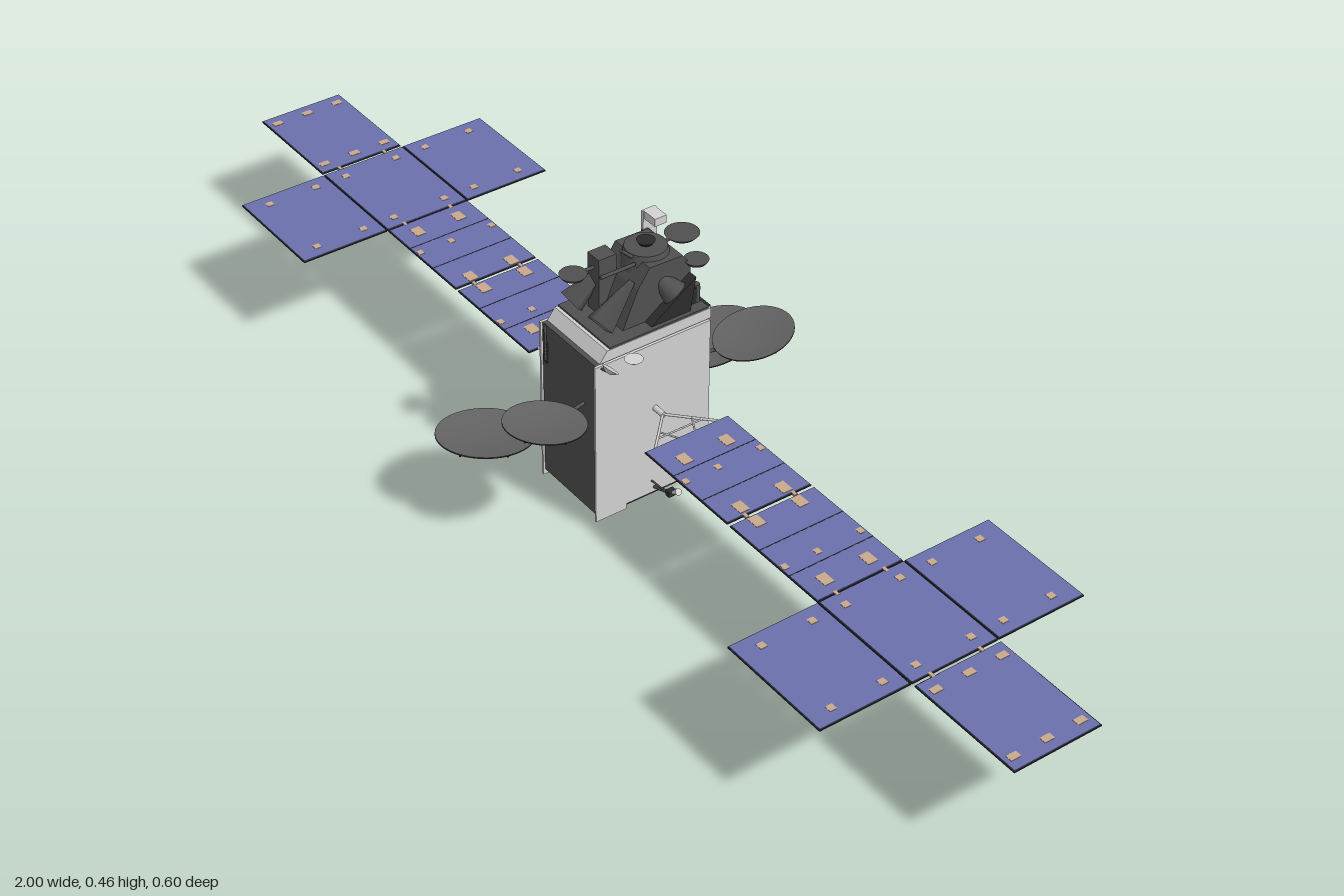
import * as THREE from 'three';

const mat = (name, color, side = THREE.FrontSide) => {
  const m = new THREE.MeshStandardMaterial({ color, side });
  m.name = name;
  return m;
};

export function createModel() {
  const root = new THREE.Group();
  root.name = 'satellite';
  const dark = mat('dark grey foil', 0x505050, THREE.DoubleSide);
  const light = mat('light grey', 0xd2d2d2, THREE.DoubleSide);
  const black = mat('black', 0x2c2c2c, THREE.DoubleSide);
  const blue = mat('solar blue', 0x6c70ac);
  const tan = mat('tan', 0xc9a98c);
  const grey = mat('reflector grey', 0x626262);

  const add = (name, geo, m, x = 0, y = 0, z = 0, parent = root) => {
    const mesh = new THREE.Mesh(geo, m);
    mesh.name = name;
    mesh.position.set(x, y, z);
    parent.add(mesh);
    return mesh;
  };
  const box = (name, m, w, h, d, x, y, z, parent) =>
    add(name, new THREE.BoxGeometry(w, h, d), m, x, y, z, parent);
  const cyl = (name, m, r1, r2, h, x, y, z, seg = 24, parent = root) =>
    add(name, new THREE.CylinderGeometry(r1, r2, h, seg), m, x, y, z, parent);
  // straight round bar between two points
  const rod = (name, m, a, b, r, r2 = r) => {
    const p = new THREE.Vector3(...a), q = new THREE.Vector3(...b);
    const d = q.clone().sub(p);
    const mesh = add(name, new THREE.CylinderGeometry(r2, r, d.length(), 8), m);
    mesh.position.copy(p).addScaledVector(d, 0.5);
    mesh.quaternion.setFromUnitVectors(new THREE.Vector3(0, 1, 0), d.normalize());
    return mesh;
  };
  // outline in (z, y) extruded across x
  const sideProfile = (name, m, pts, x0, x1) => {
    const s = new THREE.Shape(pts.map(([z, y]) => new THREE.Vector2(-z, y)));
    const g = new THREE.ExtrudeGeometry(s, { depth: x1 - x0, bevelEnabled: false });
    g.rotateY(Math.PI / 2);
    return add(name, g, m, x0, 0, 0);
  };

  // main body with light side walls
  box('body', dark, 0.142, 0.288, 0.211, 0, 0.17, 0.003);
  const wall = [[0.112, 0.016], [0.054, 0.016], [0.054, 0.027], [-0.104, 0.027], [-0.104, 0.314], [0.112, 0.314]];
  for (const s of [-1, 1]) {
    sideProfile('sideWall', light, wall, s * 0.073 - 0.002, s * 0.073 + 0.002);
    box('wallFoot', black, 0.004, 0.003, 0.16, s * 0.073, 0.0255, -0.025);
  }
  sideProfile('topDeck', light, [[0.1, 0.314], [-0.108, 0.314], [-0.108, 0.333], [0.086, 0.333]], -0.07, 0.07);
  box('deckCover', dark, 0.138, 0.004, 0.185, 0, 0.334, -0.012);
  box('rearEdge', black, 0.13, 0.02, 0.006, 0, 0.324, -0.108);

  // rows of small heat pipes on front and back
  for (let i = 0; i < 12; i++) {
    cyl('rearPipe', black, 0.0035, 0.0035, 0.005, 0.055, 0.123 + i * 0.0078, -0.106, 8);
    cyl('rearPipe', black, 0.0035, 0.0035, 0.005, -0.055, 0.123 + i * 0.0078, -0.106, 8);
    if (i < 6) cyl('frontPipe', black, 0.003, 0.003, 0.004, -0.06, 0.246 + i * 0.007, 0.109, 8);
  }
  box('rearRail', dark, 0.12, 0.1, 0.004, 0, 0.262, -0.107);
  box('frontRail', dark, 0.004, 0.065, 0.004, -0.06, 0.282, 0.112);

  // engine and base
  cyl('engineShield', black, 0.035, 0.03, 0.008, 0, 0.022, 0, 32);
  cyl('engineRing', tan, 0.017, 0.017, 0.004, 0, 0.0175, 0, 32);
  add('engineNozzle', new THREE.LatheGeometry(
    [[0.005, 0.02], [0.007, 0.014], [0.01, 0.007], [0.012, 0]].map(p => new THREE.Vector2(...p)), 24), light);
  for (const x of [-0.06, 0.06]) {
    box('thrusterBlock', black, 0.008, 0.012, 0.008, x, 0.022, -0.096);
    rod('thruster', black, [x, 0.02, -0.098], [x, 0.02, -0.108], 0.002, 0.004);
  }

  // low thruster booms
  for (const s of [-1, 1]) {
    rod('boom', dark, [s * 0.074, 0.035, 0], [s * 0.118, 0.05, 0], 0.003);
    rod('boomBrace', dark, [s * 0.074, 0.05, 0.006], [s * 0.105, 0.045, 0], 0.0015);
    box('boomHead', black, 0.01, 0.01, 0.014, s * 0.118, 0.052, 0);
    rod('boomNozzle', light, [s * 0.12, 0.053, 0], [s * 0.138, 0.066, 0], 0.002, 0.006);
  }

  // solar wings: four panels in a row plus two outer flaps
  const wingY = 0.191;
  const wing = (s) => {
    const g = new THREE.Group();
    g.name = s > 0 ? 'leftWing' : 'rightWing';
    root.add(g);
    const panel = (x, z, w, d) => {
      box('panelBack', black, w, 0.002, d, s * x, wingY - 0.0005, z, g);
      box('panelCells', blue, w - 0.003, 0.0015, d - 0.003, s * x, wingY + 0.001, z, g);
    };
    for (const x of [0.26, 0.4735, 0.682, 0.8945]) panel(x, 0, 0.207, 0.157);
    for (const z of [-0.16, 0.16]) panel(0.682, z, 0.207, 0.16);
    // seams across the inner panels
    for (const x of [0.229, 0.3, 0.44, 0.51]) box('seam', black, 0.0015, 0.0006, 0.154, s * x, wingY + 0.0018, 0, g);
    // tan hold-down patches
    const patch = (x, z, w = 0.014, d = 0.02) => box('patch', tan, w, 0.001, d, s * x, wingY + 0.0018, z, g);
    for (const x of [0.205, 0.345, 0.385, 0.545]) for (const z of [-0.04, 0.04]) patch(x, z, 0.024, 0.018);
    for (const x of [0.25, 0.49]) for (const z of [-0.07, 0.01, 0.07]) patch(x, z, 0.012, 0.01);
    for (const x of [0.605, 0.76]) for (const z of [-0.2, -0.11, -0.05, 0.05, 0.11, 0.2]) patch(x, z, 0.012, 0.012);
    for (const x of [0.815, 0.975]) for (const z of [-0.06, 0, 0.06]) patch(x, z, 0.012, 0.018);
    for (const x of [0.365, 0.578, 0.788]) for (const z of [-0.045, 0.045]) {
      box('hinge', tan, 0.01, 0.004, 0.006, s * x, wingY, z, g);
    }
    // yoke
    rod('yokeStub', light, [s * 0.074, wingY, 0], [s * 0.098, wingY, 0], 0.005);
    for (const z of [-1, 1]) {
      rod('yokeArm', light, [s * 0.095, wingY, 0], [s * 0.158, wingY, z * 0.06], 0.0022);
      rod('yokeBrace', light, [s * 0.128, wingY, z * 0.031], [s * 0.158, wingY, z * 0.015], 0.0015);
    }
    rod('yokeBar', light, [s * 0.14, wingY, -0.042], [s * 0.14, wingY, 0.042], 0.0015);
  };
  wing(1);
  wing(-1);

  // deployed reflectors, front and back
  const profile = (drop) => [0, 0.25, 0.5, 0.75, 1].map(r => new THREE.Vector2(r, 0.11 * (r * r - 1) - drop));
  const reflector = (x, y, z, rx, rz, s) => {
    const g = new THREE.Group();
    g.name = 'reflector';
    g.position.set(x, y, s * z);
    g.rotation.x = -s * 0.17;
    g.scale.set(rx, (rx + rz) / 2, rz);
    root.add(g);
    add('dishFace', new THREE.LatheGeometry(profile(0), 40), grey, 0, 0, 0, g).material.side = THREE.DoubleSide;
    add('dishBack', new THREE.LatheGeometry(profile(0.03), 40), black, 0, 0, 0, g);
    add('dishRim', new THREE.CylinderGeometry(1, 1, 0.03, 40, 1, true), black, 0, -0.015, 0, g);
    for (const r of [0.4, 0.7]) {
      const ring = add('dishRing', new THREE.TorusGeometry(r, 0.025, 6, 28), black, 0, 0.11 * (r * r - 1) - 0.05, 0, g);
      ring.rotation.x = Math.PI / 2;
    }
    for (let i = 0; i < 6; i++) {
      const rib = new THREE.Group();
      rib.name = 'dishRib';
      rib.rotation.y = i * Math.PI / 3;
      g.add(rib);
      box('rib', black, 0.9, 0.06, 0.03, 0.5, -0.115, 0, rib).rotation.z = 0.11;
    }
    // support arm from the body
    const inner = z - rz * 0.7;
    rod('dishArm', dark, [x * 0.6, y - 0.018, s * 0.105], [x * 0.75, y - 0.018, s * inner], 0.003);
    rod('dishBracket', dark, [x * 0.75, y - 0.018, s * inner], [x, y - 0.013, s * z], 0.003);
  };
  for (const s of [-1, 1]) {
    reflector(-0.07, 0.149, 0.218, 0.068, 0.084, s);
    reflector(0.064, 0.244, 0.197, 0.06, 0.068, s);
  }

  // feed tower
  sideProfile('towerCore', dark, [[0.04, 0.335], [-0.088, 0.335], [-0.086, 0.41], [-0.072, 0.43], [-0.01, 0.432], [0.012, 0.4]], -0.045, 0.045);
  sideProfile('towerFin', dark, [[0.045, 0.335], [0.012, 0.335], [0.012, 0.436], [0.045, 0.436]], -0.04, -0.01);
  sideProfile('towerBrace', black, [[0.0, 0.335], [-0.085, 0.395], [-0.075, 0.335]], 0.045, 0.062);
  cyl('towerDrum', dark, 0.034, 0.042, 0.03, 0, 0.425, -0.035, 20);
  cyl('towerCap', black, 0.015, 0.011, 0.006, 0, 0.446, -0.035, 20);
  rod('topStub', dark, [0.01, 0.436, -0.002], [0.01, 0.455, 0.018], 0.003);
  box('rearBox', black, 0.1, 0.03, 0.016, 0, 0.349, -0.094);
  rod('rearCan', dark, [0.045, 0.335, -0.098], [0.045, 0.368, -0.098], 0.006);
  // tall light radiator on the right side
  box('radiator', light, 0.006, 0.112, 0.026, -0.068, 0.391, -0.09);
  box('radiatorCap', light, 0.03, 0.014, 0.022, -0.052, 0.441, -0.09);
  box('radiatorStay', dark, 0.025, 0.05, 0.012, -0.054, 0.39, -0.08);

  // square feed horns tilted forward and down
  const horn = (x, tx) => {
    const h = rod('feedHorn', dark, [x, 0.408, 0.012], [tx, 0.358, 0.077], 0.006);
    h.geometry = new THREE.CylinderGeometry(0.026, 0.006, 0.082, 4, 1, true);
    const lid = cyl('hornMouth', black, 0.022, 0.022, 0.002, 0, 0.036, 0, 4, h);
    lid.name = 'hornMouth';
  };
  horn(-0.03, -0.038);
  horn(0.03, 0.038);
  for (const s of [-1, 1]) {
    const h = rod('sideHorn', dark, [s * 0.03, 0.405, -0.03], [s * 0.056, 0.375, -0.05], 0.008, 0.022);
    h.name = 'sideHorn';
  }

  // small flat dishes around the tower top
  const plate = (x, y, z, r, from) => {
    cyl('smallDish', dark, r, r * 0.8, 0.006, x, y, z, 24);
    rod('smallDishArm', dark, from, [x, y, z], 0.003);
  };
  plate(-0.025, 0.416, 0.082, 0.022, [-0.025, 0.416, 0.02]);
  plate(-0.02, 0.416, -0.118, 0.028, [-0.02, 0.416, -0.08]);
  plate(0.048, 0.414, -0.095, 0.02, [0.03, 0.41, -0.06]);
  rod('topBar', dark, [0.02, 0.429, 0.063], [0.02, 0.429, 0], 0.003);

  // little light dishes beside the deck
  for (const [z, tilt] of [[0.055, 0], [0.1, -0.7]]) {
    cyl('trackingDish', light, 0.015, 0.006, 0.007, 0.095, 0.317, z, 20).rotation.x = tilt;
    rod('trackingArm', dark, [0.07, 0.308, z], [0.095, 0.314, z], 0.002);
  }
  return root;
}
